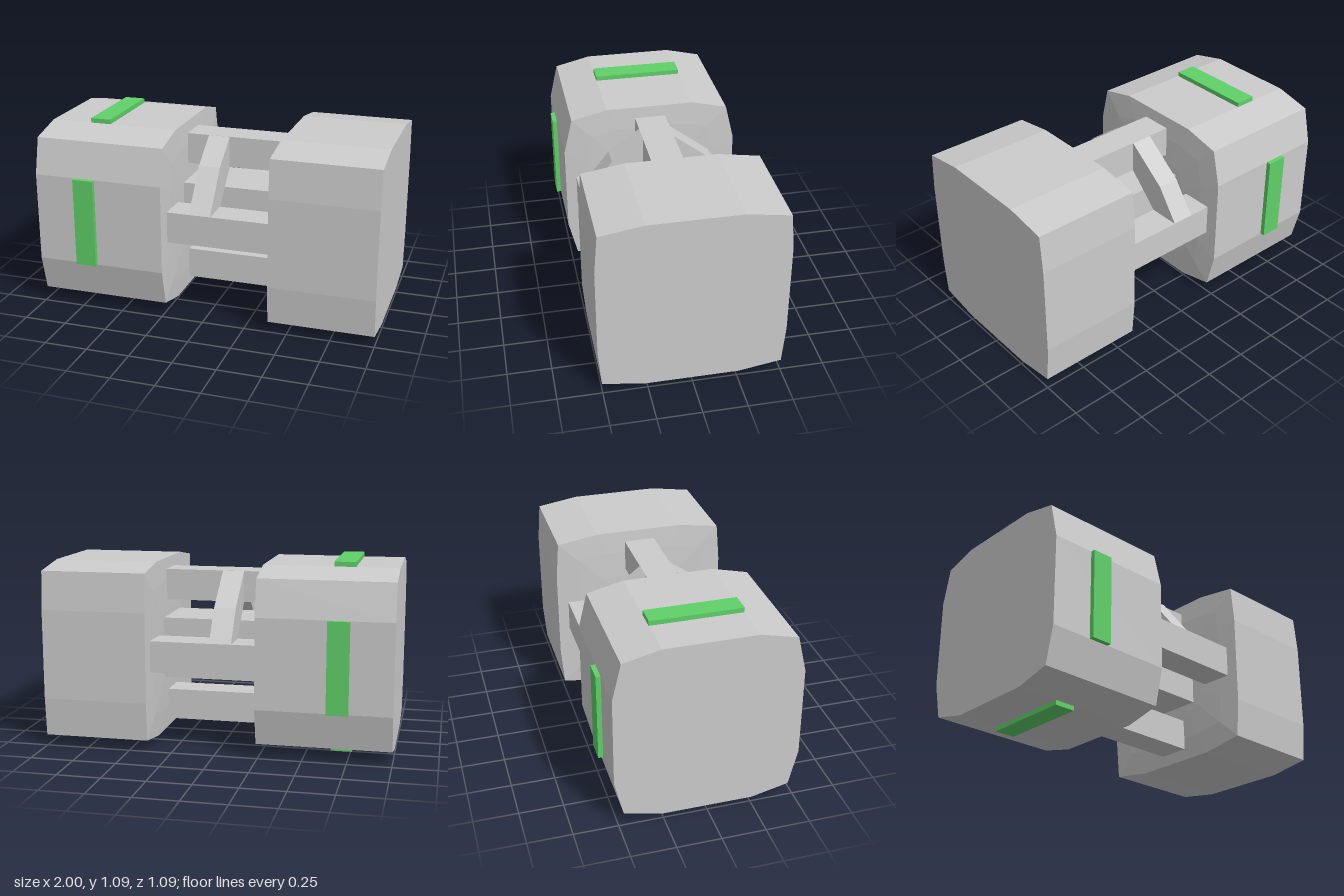
import * as THREE from 'three';

const CY = 0.547; // height of the long axis
const grey = new THREE.MeshStandardMaterial({ color: 0xcccccc, flatShading: true });
const green = new THREE.MeshStandardMaterial({ color: 0x5fd068, flatShading: true });

// Twelve-sided rounded-square outline, counter-clockwise
function outline(cornerX, cornerY) {
  const f = 0.26, r = 0.52;
  return [
    [r, -f], [r, f], [cornerX, cornerY], [f, r], [-f, r], [-cornerX, cornerY],
    [-r, f], [-r, -f], [-cornerX, -cornerY], [-f, -r], [f, -r], [cornerX, -cornerY],
  ];
}

// Block swept along +z: flat outer end, shallow dome on the inner end
function domedBlock(points, length) {
  const rings = [[0, 0], [0, 1], [length, 1], [length + 0.01, 0.75], [length + 0.016, 0.45], [length + 0.02, 0]];
  const n = points.length, pos = [], index = [];
  for (const [z, s] of rings) for (const [x, y] of points) pos.push(x * s, y * s, z);
  for (let i = 0; i < rings.length - 1; i++) {
    for (let j = 0; j < n; j++) {
      const k = (j + 1) % n;
      const a = i * n + j, b = i * n + k, c = b + n, d = a + n;
      if (rings[i][1] > 0) index.push(a, b, c);
      if (rings[i + 1][1] > 0) index.push(a, c, d);
      else if (rings[i][1] === 0) index.push(a, c, d);
    }
  }
  const g = new THREE.BufferGeometry();
  g.setAttribute('position', new THREE.Float32BufferAttribute(pos, 3));
  g.setIndex(index);
  g.computeVertexNormals();
  return g;
}

export function createModel() {
  const model = new THREE.Group();
  model.name = 'spaceModule';

  function add(name, geometry, material, x, y, z) {
    const mesh = new THREE.Mesh(geometry, material);
    mesh.name = name;
    mesh.position.set(x, y, z);
    model.add(mesh);
    return mesh;
  }

  // End blocks, domes facing each other
  add('rightBlock', domedBlock(outline(0.47, 0.47), 0.765), grey, -1, CY, 0).rotation.y = Math.PI / 2;
  add('leftBlock', domedBlock(outline(0.502, 0.482), 0.61), grey, 1, CY, 0).rotation.y = -Math.PI / 2;

  // Core beam and four outer rails joining the blocks
  const x0 = -0.222, x1 = 0.38, mid = (x0 + x1) / 2;
  add('coreBeam', new THREE.BoxGeometry(x1 - x0, 0.36, 0.36), grey, mid, CY, 0);
  for (let i = 0; i < 4; i++) {
    const a = i * Math.PI / 2;
    add('rail', new THREE.BoxGeometry(x1 - x0, 0.182, 0.182), grey,
      mid, CY + 0.366 * Math.cos(a), 0.366 * Math.sin(a));
  }

  // Bent braces from the top rail to the front and back rails, drawn as (z, y) from the axis
  const brace = new THREE.Shape([
    [0.09, 0.457], [0.09, 0.275], [0.275, 0.09], [0.457, 0.09], [0.275, 0.325],
  ].map(([z, y]) => new THREE.Vector2(z, y)));
  const braceGeo = new THREE.ExtrudeGeometry(brace, { depth: 0.126, bevelEnabled: false });
  braceGeo.translate(0, 0, -0.063);
  braceGeo.rotateY(-Math.PI / 2); // outline x becomes +z
  add('frontBrace', braceGeo, grey, -0.027, CY, 0);
  add('backBrace', braceGeo, grey, -0.027, CY, 0).rotation.x = -Math.PI / 2;

  // Green strips on the four sides of the longer block
  for (let i = 0; i < 4; i++) {
    const a = i * Math.PI / 2;
    const strip = add('strip', new THREE.BoxGeometry(0.122, 0.037, 0.52), green,
      -0.697, CY + 0.5285 * Math.cos(a), 0.5285 * Math.sin(a));
    strip.rotation.x = a;
  }
  return model;
}
